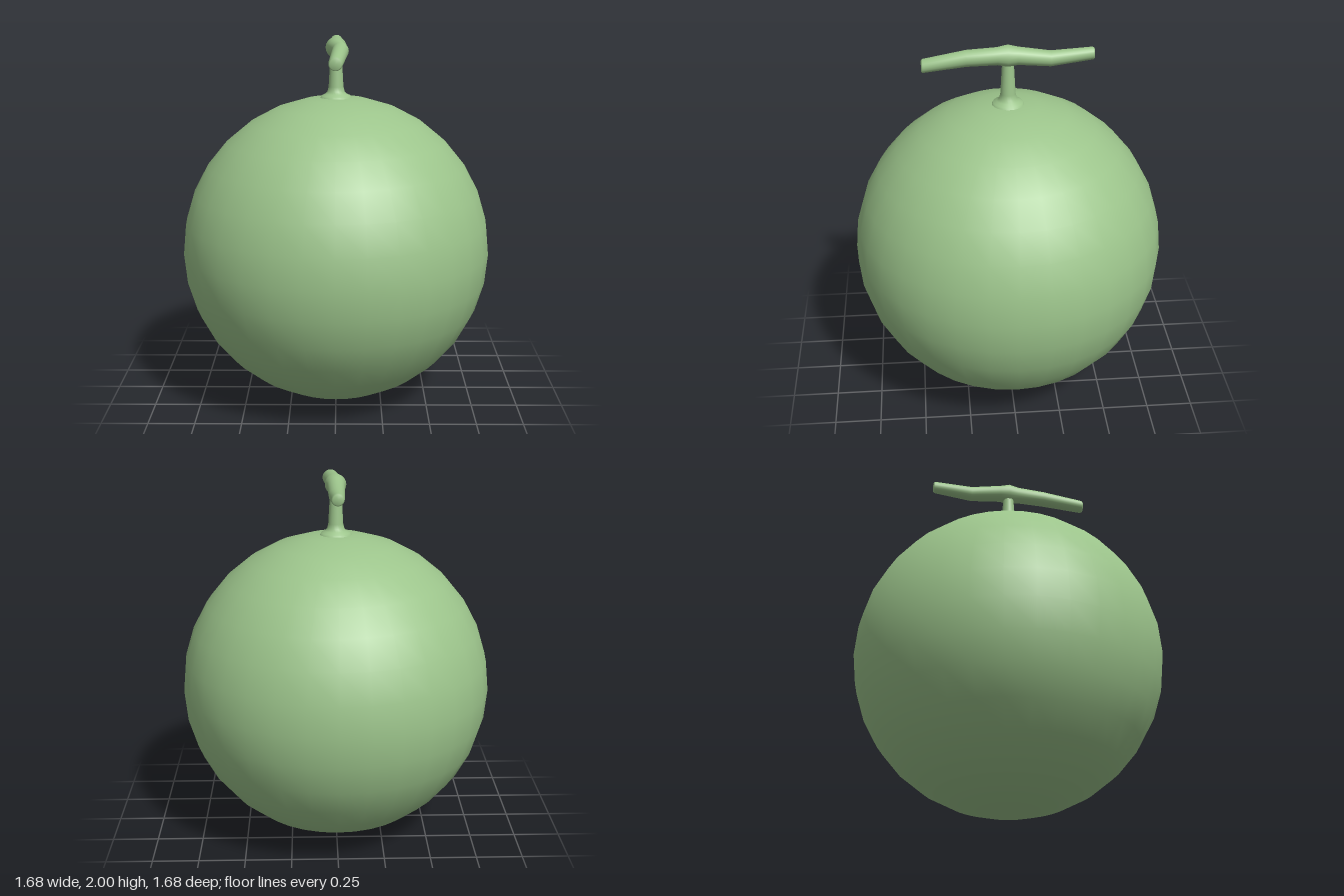
import * as THREE from 'three';

// Round tube through stations [x, y, z, radius], rings lying across z
function branch(stations, sides) {
  const pos = [], index = [];
  for (const [x, y, z, r] of stations) {
    for (let i = 0; i < sides; i++) {
      const a = (i / sides) * Math.PI * 2;
      pos.push(x + Math.cos(a) * r, y + Math.sin(a) * r, z);
    }
  }
  for (let s = 0; s < stations.length - 1; s++) {
    for (let i = 0; i < sides; i++) {
      const j = (i + 1) % sides;
      const a = s * sides + i, b = s * sides + j, c = a + sides, d = b + sides;
      index.push(a, b, c, b, d, c);
    }
  }
  const geo = new THREE.BufferGeometry();
  geo.setAttribute('position', new THREE.Float32BufferAttribute(pos, 3));
  geo.setIndex(index);
  geo.computeVertexNormals();
  return geo;
}

export function createModel() {
  const model = new THREE.Group();
  const green = new THREE.MeshStandardMaterial({ color: 0x9cc48b });
  green.name = 'melonGreen';
  const add = (name, geo) => {
    const mesh = new THREE.Mesh(geo, green);
    mesh.name = name;
    model.add(mesh);
    return mesh;
  };

  // Round fruit body
  add('fruit', new THREE.SphereGeometry(0.842, 32, 16)).position.y = 0.842;

  // Upright stem with a flared foot
  const profile = [[0.085, 1.675], [0.078, 1.687], [0.058, 1.696], [0.046, 1.71], [0.04, 1.735], [0.029, 1.93]];
  add('stem', new THREE.LatheGeometry(profile.map(([r, y]) => new THREE.Vector2(r, y)), 24));

  // Crooked cross twig, swollen where it meets the stem, with softened ends
  add('twig', branch([
    [0, 1.943, -0.445, 0],
    [0, 1.943, -0.445, 0.026],
    [0, 1.943, -0.437, 0.033],
    [0, 1.921, -0.22, 0.041],
    [0, 1.941, -0.05, 0.047],
    [0.001, 1.943, 0, 0.057],
    [0.005, 1.944, 0.055, 0.046],
    [0.024, 1.945, 0.215, 0.043],
    [0, 1.901, 0.437, 0.036],
    [0, 1.9, 0.445, 0.029],
    [0, 1.9, 0.445, 0],
  ], 20));

  return model;
}
